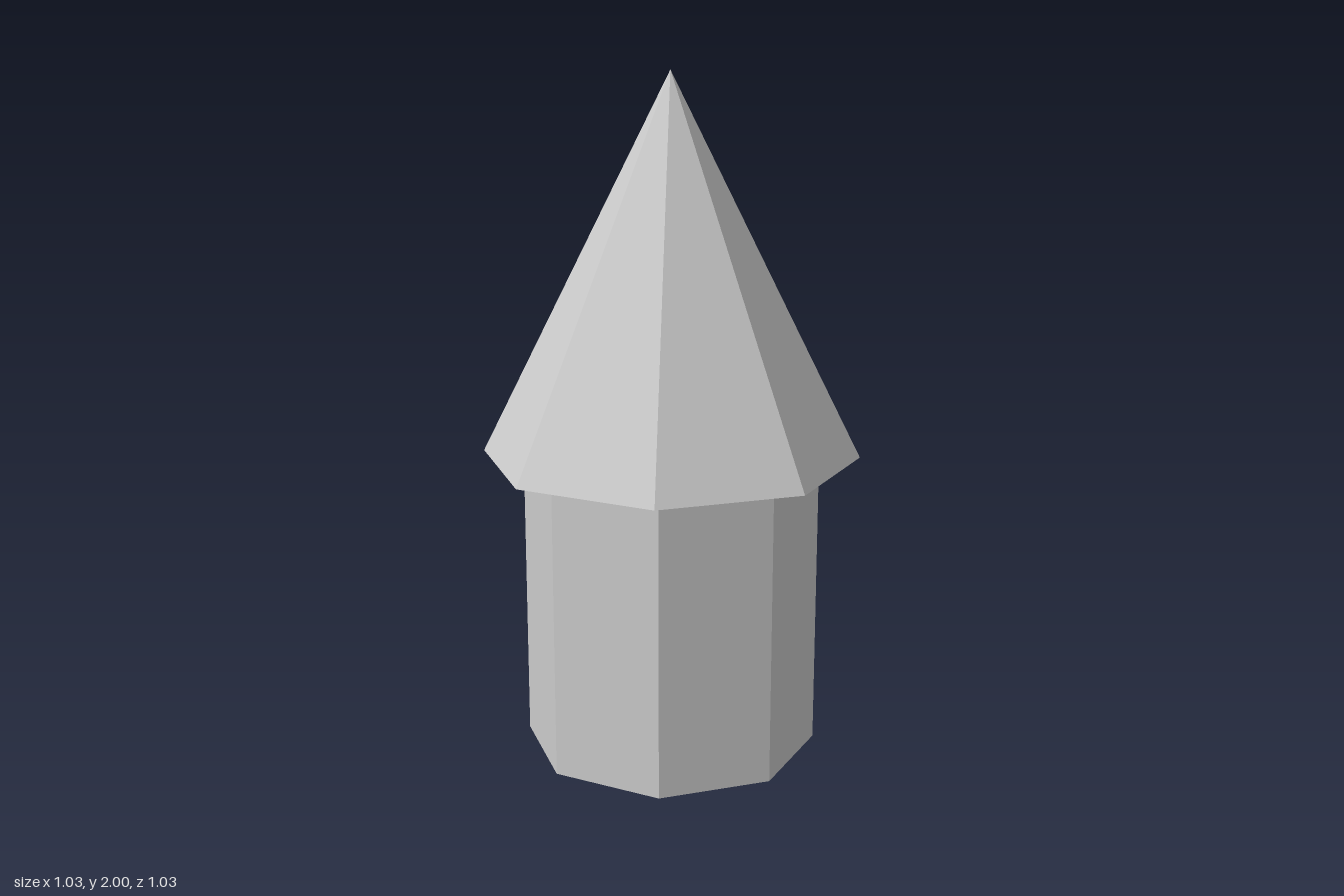
import * as THREE from 'three';

const SIDES = 8;
const WALL_HEIGHT = 0.89;
const TOTAL_HEIGHT = 2;

export function createModel() {
  const group = new THREE.Group();
  group.name = 'tower';
  const material = new THREE.MeshStandardMaterial({ color: 0xcccccc, flatShading: true });

  // Octagonal part with a flat side facing the front
  function addPart(name, geometry, y) {
    geometry.rotateY(Math.PI / SIDES);
    const mesh = new THREE.Mesh(geometry, material);
    mesh.name = name;
    mesh.position.y = y;
    group.add(mesh);
  }

  // Straight tower wall, closed at the bottom
  addPart('towerBody', new THREE.CylinderGeometry(0.438, 0.438, WALL_HEIGHT, SIDES), WALL_HEIGHT / 2);

  // Pointed roof overhanging the wall
  const roofHeight = TOTAL_HEIGHT - WALL_HEIGHT;
  addPart('roof', new THREE.ConeGeometry(0.557, roofHeight, SIDES), WALL_HEIGHT + roofHeight / 2);

  return group;
}
